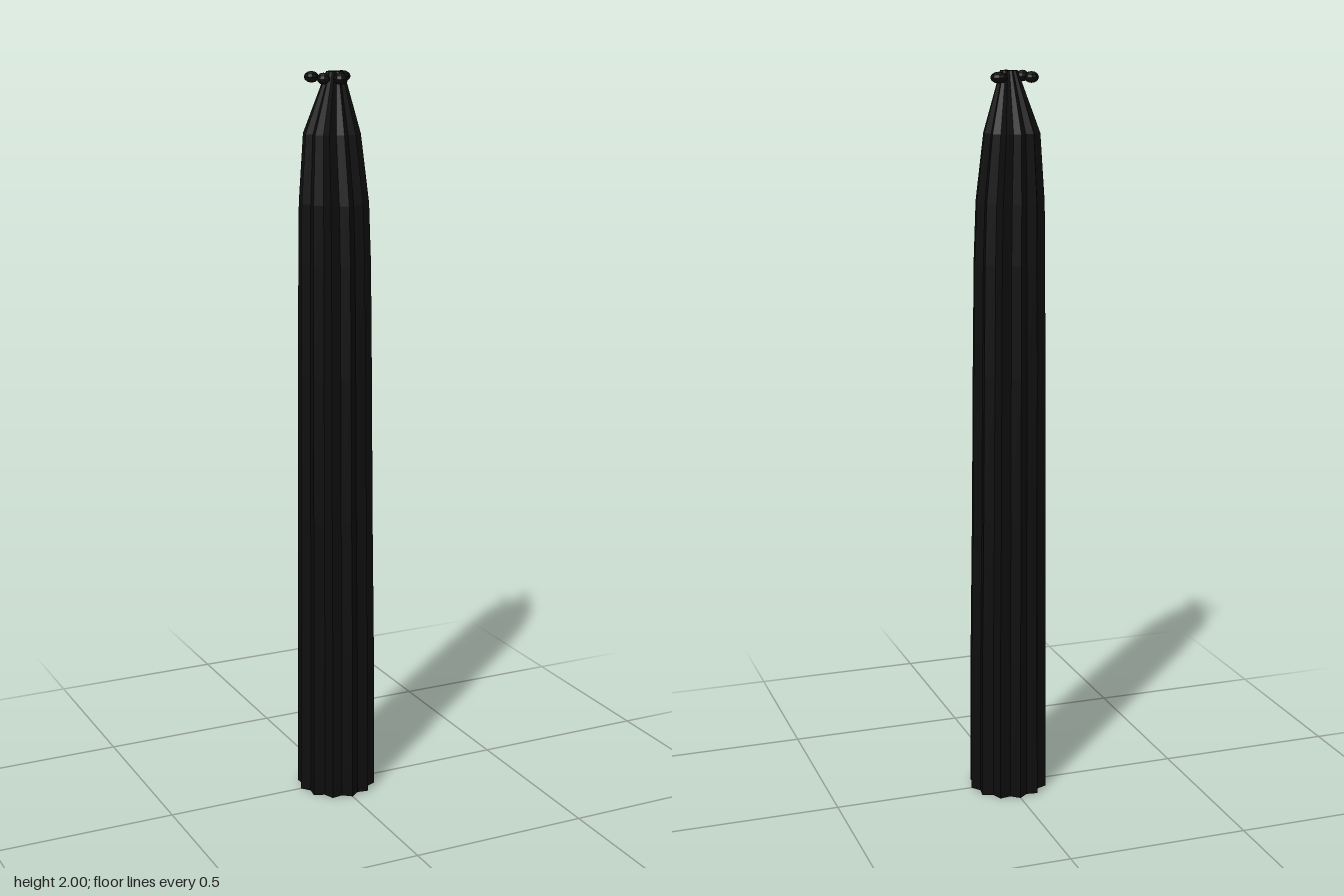
import * as THREE from 'three';

// Cross-sections from base to tip: [height, point radius, centre x, centre z]
const RINGS = [
  [0, 0.11, 0, 0],
  [0.4, 0.107, 0, 0],
  [0.8, 0.103, -0.002, 0],
  [1.2, 0.1, -0.003, 0],
  [1.5, 0.097, -0.004, 0],
  [1.66, 0.093, -0.006, 0],
  [1.84, 0.076, -0.008, -0.008],
  [2, 0.023, -0.003, 0],
];
const POINTS = 12;
const VALLEY = 0.855; // valley radius relative to the points

// Flattened lumps around the tip: [x, z, radius]
const LUMPS = [
  [-0.048, -0.048, 0.02],
  [0.042, -0.053, 0.024],
  [-0.053, 0.037, 0.018],
  [-0.018, 0.065, 0.02],
];

// Tapering column with a star-shaped section
function shaftGeometry() {
  const rows = RINGS.length - 1;
  const geo = new THREE.CylinderGeometry(1, 1, 1, POINTS * 2, rows);
  const pos = geo.attributes.position;
  for (let i = 0; i < pos.count; i++) {
    const x = pos.getX(i), z = pos.getZ(i);
    const [y, r, cx, cz] = RINGS[Math.round((pos.getY(i) + 0.5) * rows)];
    const step = Math.round(Math.atan2(x, z) / (Math.PI / POINTS));
    const radius = r * (step % 2 === 0 ? 1 : VALLEY);
    pos.setXYZ(i, cx + x * radius, y, cz + z * radius);
  }
  geo.computeVertexNormals();
  return geo;
}

export function createModel() {
  const model = new THREE.Group();
  const material = new THREE.MeshStandardMaterial({ color: 0x0d0d0d, flatShading: true });

  const shaft = new THREE.Mesh(shaftGeometry(), material);
  shaft.name = 'shaft';
  model.add(shaft);

  const lumps = new THREE.Group();
  lumps.name = 'tipLumps';
  const lumpGeometry = new THREE.SphereGeometry(1, 10, 6);
  LUMPS.forEach(([x, z, r], i) => {
    const lump = new THREE.Mesh(lumpGeometry, material);
    lump.name = `tipLump${i + 1}`;
    lump.position.set(x, 1.984, z);
    lump.scale.set(r, 0.015, r);
    lumps.add(lump);
  });
  model.add(lumps);
  return model;
}
